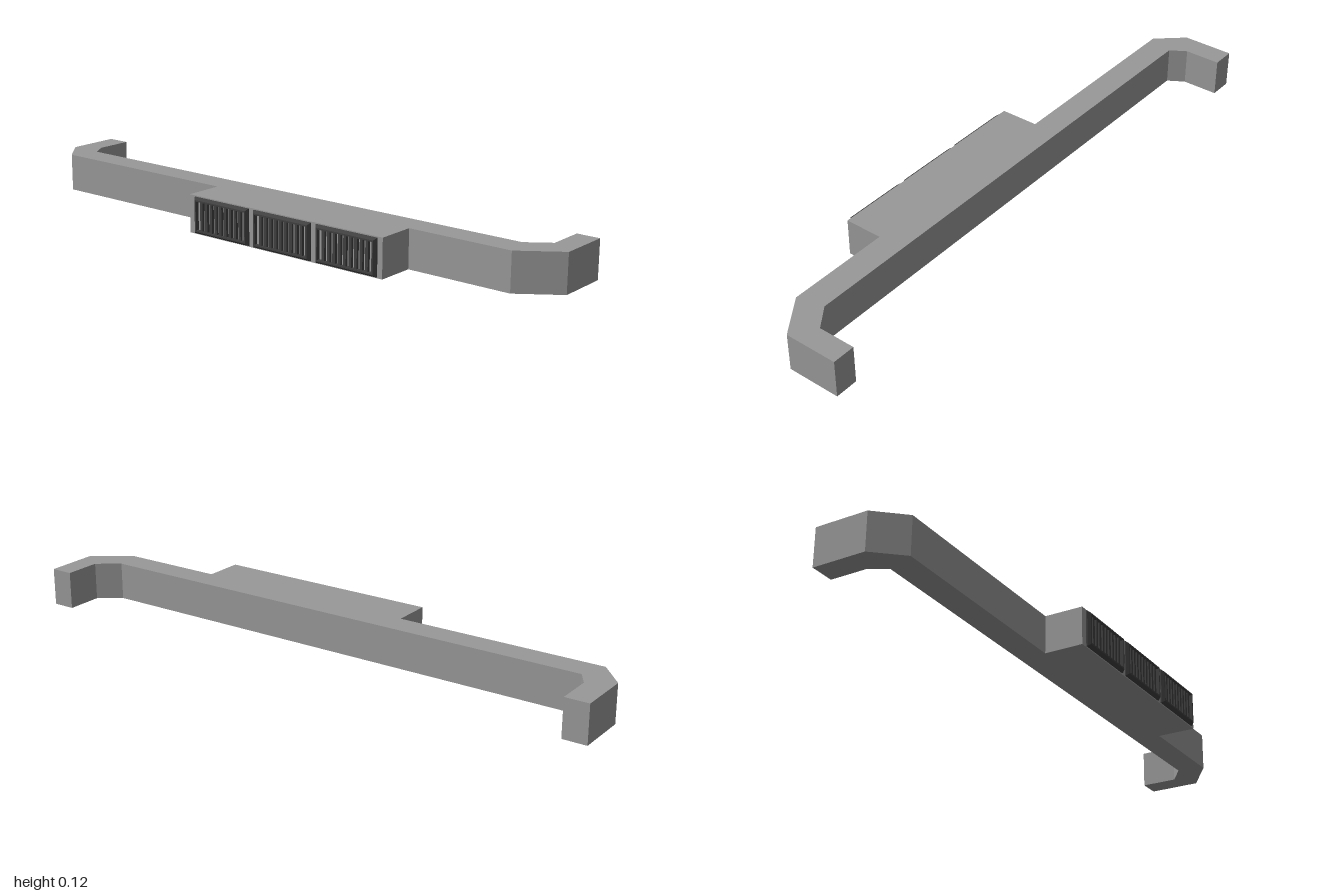
import * as THREE from 'three';

// Rectangular ring skinned through nested rectangles given as [width, height, z]
function ringGeometry(sections) {
  const positions = [];
  const index = [];
  for (const [w, h, z] of sections) {
    positions.push(-w / 2, -h / 2, z, w / 2, -h / 2, z, w / 2, h / 2, z, -w / 2, h / 2, z);
  }
  for (let s = 0; s < sections.length - 1; s++) {
    for (let i = 0; i < 4; i++) {
      const a = s * 4 + i, b = s * 4 + (i + 1) % 4;
      index.push(a, b, b + 4, a, b + 4, a + 4);
    }
  }
  const geometry = new THREE.BufferGeometry();
  geometry.setAttribute('position', new THREE.Float32BufferAttribute(positions, 3));
  geometry.setIndex(index);
  const flat = geometry.toNonIndexed();
  flat.computeVertexNormals();
  return flat;
}

export function createModel() {
  const model = new THREE.Group();
  const grey = new THREE.MeshStandardMaterial({ color: 0x999999, flatShading: true });
  const dark = new THREE.MeshStandardMaterial({ color: 0x404040, flatShading: true });
  const height = 0.125;

  const add = (name, geometry, material, parent = model) => {
    const mesh = new THREE.Mesh(geometry, material);
    mesh.name = name;
    parent.add(mesh);
    return mesh;
  };

  // Bumper bar: plan outline (x, z) with wrapped ends and a central housing
  const plan = [
    [-1, -0.203], [-1, -0.028], [-0.92, 0.062], [-0.228, 0.062], [-0.228, 0.19],
    [0.526, 0.19], [0.526, 0.062], [0.873, 0.062], [1, -0.028], [1, -0.203],
    [0.925, -0.203], [0.925, -0.08], [0.852, -0.027], [-0.888, -0.027],
    [-0.921, -0.08], [-0.921, -0.203],
  ];
  const outline = new THREE.Shape(plan.map(([x, z]) => new THREE.Vector2(x, -z)));
  const bar = new THREE.ExtrudeGeometry(outline, { depth: height, bevelEnabled: false });
  bar.rotateX(-Math.PI / 2);
  add('bumperBar', bar, grey);

  // Grille frame: tapered outside, flat rim, straight inside
  const w = 0.224, h = 0.118, innerW = 0.2, innerH = 0.094;
  const frameGeometry = ringGeometry([
    [w, h, 0.188], [w, h, 0.194], [w - 0.014, h - 0.014, 0.203],
    [innerW, innerH, 0.203], [innerW, innerH, 0.188],
  ]);

  // Three grilles in a row, each with upright slats
  const slats = 10;
  const pitch = innerW / slats;
  const slatGeometry = new THREE.BoxGeometry(pitch * 0.5, innerH, 0.014);
  for (const x of [-0.092, 0.152, 0.396]) {
    const grille = new THREE.Group();
    grille.name = 'grille';
    grille.position.set(x, height / 2, 0);
    add('grilleFrame', frameGeometry, dark, grille);
    for (let i = 1; i < slats; i++) {
      const slat = add('grilleSlat', slatGeometry, dark, grille);
      slat.position.set((i - slats / 2) * pitch, 0, 0.192);
    }
    model.add(grille);
  }
  return model;
}
